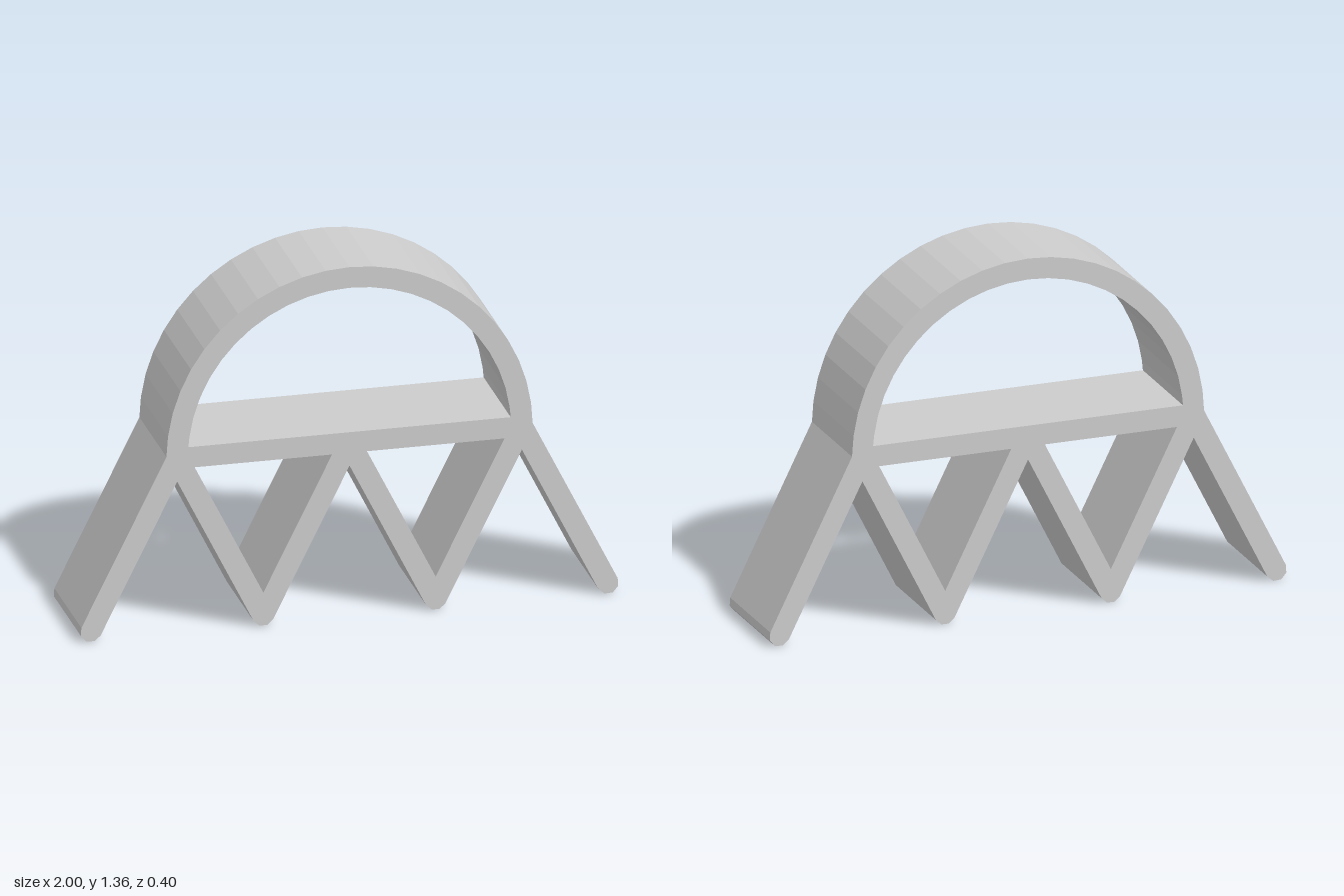
import * as THREE from 'three';

const HALF = 0.04;         // half the wall thickness
const DEPTH = 0.4;
const RADIUS = 0.64;       // centreline radius of the arch
const BAR_Y = 0.68;        // centreline height of the crossbar
const SLANT = Math.atan2(0.32, 0.64); // leg angle from vertical
const VERT = HALF / Math.sin(SLANT);  // wall measured vertically
const HORZ = HALF / Math.cos(SLANT);  // wall measured horizontally

const pt = (x, y) => new THREE.Vector2(x, y);

// Points along an arc, counterclockwise
function arc(cx, cy, r, from, to, segments) {
  return Array.from({ length: segments + 1 }, (_, i) => {
    const a = from + ((to - from) * i) / segments;
    return pt(cx + r * Math.cos(a), cy + r * Math.sin(a));
  });
}

// Adds the left half to a right half that runs between two points on x = 0
function mirrored(half) {
  const left = half.slice(1, -1).reverse().map((p) => pt(-p.x, p.y));
  return [...half, ...left];
}

export function createModel() {
  const group = new THREE.Group();
  group.name = 'archedFrame';
  const grey = new THREE.MeshStandardMaterial({ color: 0xcccccc });
  grey.name = 'light grey';

  const step = Math.PI / 24;

  // Outer outline: zigzag legs with rounded feet, then the arch
  const shape = new THREE.Shape(mirrored([
    pt(0, BAR_Y - VERT),
    ...arc(0.32, 0.04, HALF, Math.PI + SLANT, 2 * Math.PI - SLANT, 3),
    pt(0.64, BAR_Y - VERT),
    ...arc(0.96, 0.04, HALF, Math.PI + SLANT, 2 * Math.PI + SLANT, 4),
    pt(RADIUS + HALF, BAR_Y + 0.01),
    ...arc(0, BAR_Y, RADIUS + HALF, step, Math.PI / 2, 11),
  ]));

  // Opening under the arch
  const inner = RADIUS - HALF;
  shape.holes.push(new THREE.Path(mirrored([
    pt(0, BAR_Y + HALF),
    pt(Math.sqrt(inner * inner - HALF * HALF), BAR_Y + HALF),
    ...arc(0, BAR_Y, inner, step, Math.PI / 2, 11),
  ])));

  // Triangular openings under the crossbar
  const halfWidth = 0.3 - HORZ;
  for (const x of [-0.32, 0.32]) {
    shape.holes.push(new THREE.Path([
      pt(x, 0.04 + VERT),
      pt(x + halfWidth, BAR_Y - HALF),
      pt(x - halfWidth, BAR_Y - HALF),
    ]));
  }

  const geometry = new THREE.ExtrudeGeometry(shape, { depth: DEPTH, bevelEnabled: false });
  geometry.translate(0, -0.002, -DEPTH / 2);
  geometry.scale(1.002, 1.002, 1);

  const frame = new THREE.Mesh(geometry, grey);
  frame.name = 'archAndLegs';
  group.add(frame);
  return group;
}
